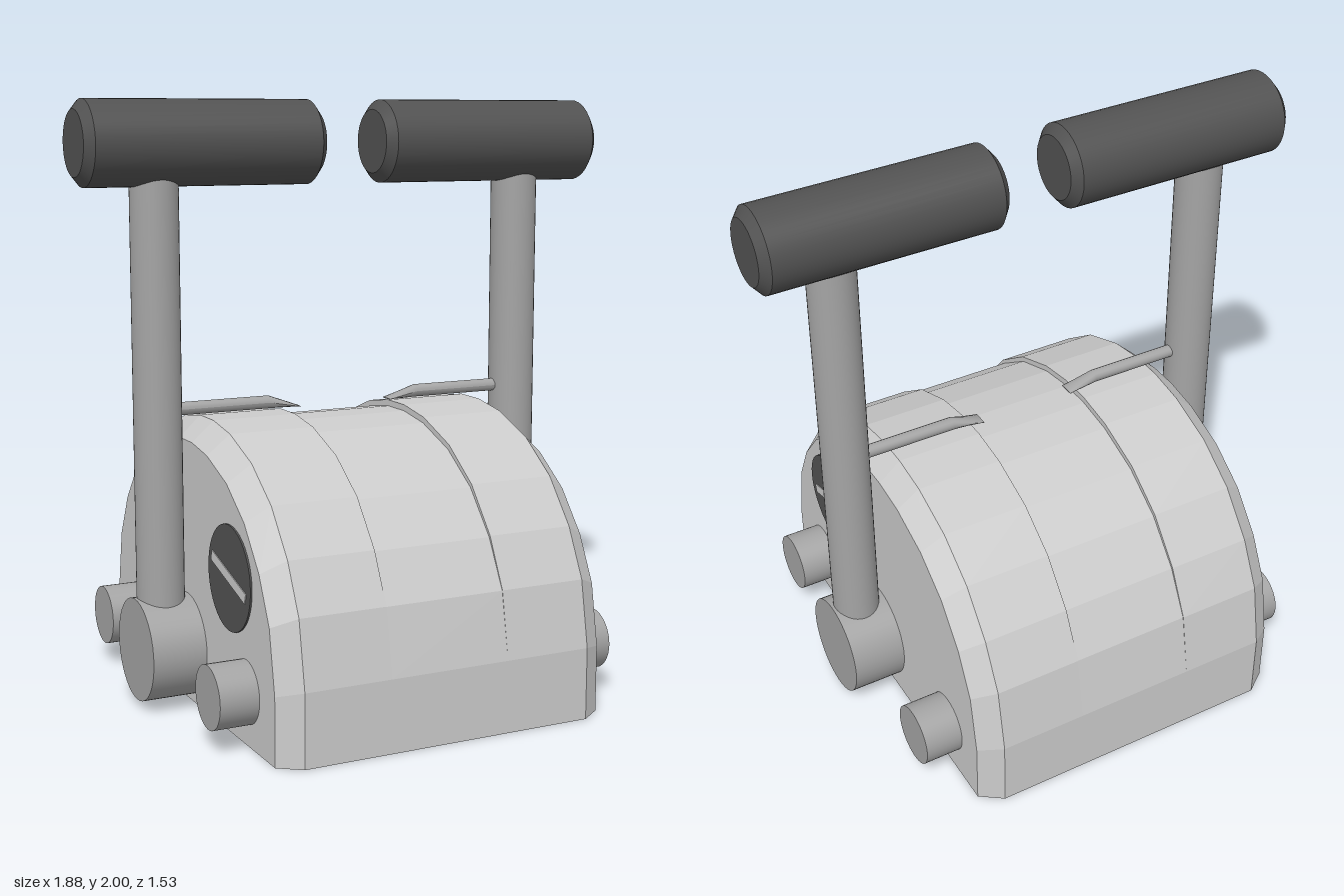
import * as THREE from 'three';

const grey = new THREE.MeshStandardMaterial({ color: 0xcccccc, flatShading: true, side: THREE.DoubleSide });
const steel = new THREE.MeshStandardMaterial({ color: 0xa4a4a4, side: THREE.DoubleSide });
const black = new THREE.MeshStandardMaterial({ color: 0x525252 });

// Half-round outline as [z, y], front to back
const half = [[0.765, 0], [0.765, 0.24], [0.725, 0.46], [0.645, 0.62], [0.525, 0.765], [0.375, 0.87], [0.2, 0.935], [0.06, 0.957]];
const outline = [...half, ...half.slice().reverse().map(([z, y]) => [-z, y])];
const inset = outline.map(([z, y]) => [z * 0.93, y * 0.928]);
// Centre band sinks gradually towards the top
const sunken = outline.map(([z, y]) => {
  const k = 1 - 0.022 * Math.max(0, (y - 0.4) / 0.55);
  return [z * k, y * k];
});

// Skin between outlines placed along x
function skin(sections) {
  const pos = [], index = [];
  const n = outline.length;
  for (const [x, pts] of sections) for (const [z, y] of pts) pos.push(x, y, z);
  for (let i = 0; i < sections.length - 1; i++) {
    for (let j = 0; j < n - 1; j++) {
      const a = i * n + j, b = a + n;
      index.push(a, b, b + 1, a, b + 1, a + 1);
    }
  }
  const g = new THREE.BufferGeometry();
  g.setAttribute('position', new THREE.Float32BufferAttribute(pos, 3));
  g.setIndex(index);
  g.computeVertexNormals();
  return g;
}

function add(parent, name, geometry, material, x = 0, y = 0, z = 0) {
  const mesh = new THREE.Mesh(geometry, material);
  mesh.name = name;
  mesh.position.set(x, y, z);
  parent.add(mesh);
  return mesh;
}

// Cylinder lying along x
const rod = (r, length, open = false) => new THREE.CylinderGeometry(r, r, length, 40, 1, open).rotateZ(Math.PI / 2);

// Handle grip: chamfered cylinder along x
function gripGeometry() {
  const r = 0.14, h = 0.415, c = 0.028;
  const parts = [[0, -h], [r - c - 0.005, -h], [r - c - 0.005, -h], [r, -h + c], [r, -h + c], [r, h - c], [r, h - c], [r - c - 0.005, h], [r - c - 0.005, h], [0, h]];
  return new THREE.LatheGeometry(parts.map(p => new THREE.Vector2(...p)), 40).rotateZ(Math.PI / 2);
}

// Pointer: thin rod whose inner end is sliced to a flat, slightly flared tip
function pointerGeometry(side) {
  const g = new THREE.CylinderGeometry(0.022, 0.022, 0.47, 16, 2).rotateZ(Math.PI / 2);
  const p = g.attributes.position;
  for (let i = 0; i < p.count; i++) {
    const x = p.getX(i);
    if (Math.abs(x) < 0.01) p.setX(i, side * -0.125);
    else if (x * side < 0) {
      p.setY(i, -0.02 + p.getY(i) * 0.08);
      p.setZ(i, p.getZ(i) * 1.3);
    }
  }
  g.computeVertexNormals();
  return g;
}

export function createModel() {
  const model = new THREE.Group();
  model.name = 'twinLeverControl';

  // Hollow housing, open underneath
  add(model, 'housingShell', skin([
    [-0.58, inset], [-0.505, outline], [-0.21, outline], [-0.21, sunken],
    [0.205, sunken], [0.205, outline], [0.505, outline], [0.58, inset],
  ]), grey);
  const wall = new THREE.ShapeGeometry(new THREE.Shape(inset.map(([z, y]) => new THREE.Vector2(-z, y))));

  // Cross rods and the dial barrel pass right through the housing
  for (const z of [0.495, -0.505]) add(model, 'crossRod', rod(0.103, 1.42), steel, 0, 0.175, z);
  add(model, 'dialBarrel', rod(0.172, 1.172), black, 0, 0.51, 0.375);

  for (const s of [1, -1]) {
    const side = new THREE.Group();
    side.name = s > 0 ? 'leftSide' : 'rightSide';
    model.add(side);

    add(side, 'sideWall', wall, grey, s * 0.58).rotation.y = s * Math.PI / 2;
    add(side, 'dialSlot', new THREE.BoxGeometry(0.006, 0.034, 0.285), grey, s * 0.586, 0.515, 0.373).rotation.x = 0.283;

    // Pivot hub: sleeve reaching inside, capped on the outside
    add(side, 'hubSleeve', rod(0.172, 0.265, true), steel, s * 0.6325, 0.195, -0.005);
    add(side, 'hubCap', new THREE.CircleGeometry(0.172, 40), steel, s * 0.765, 0.195, -0.005).rotation.y = s * Math.PI / 2;

    // Lever, grip and pointer
    add(side, 'lever', new THREE.CylinderGeometry(0.08, 0.08, 1.6, 32), steel, s * 0.675, 1.04, -0.005);
    add(side, 'grip', gripGeometry(), black, s * 0.525, 1.86, -0.003);
    add(side, 'pointer', pointerGeometry(s), steel, s * 0.405, 0.993, -0.005);
  }
  return model;
}
